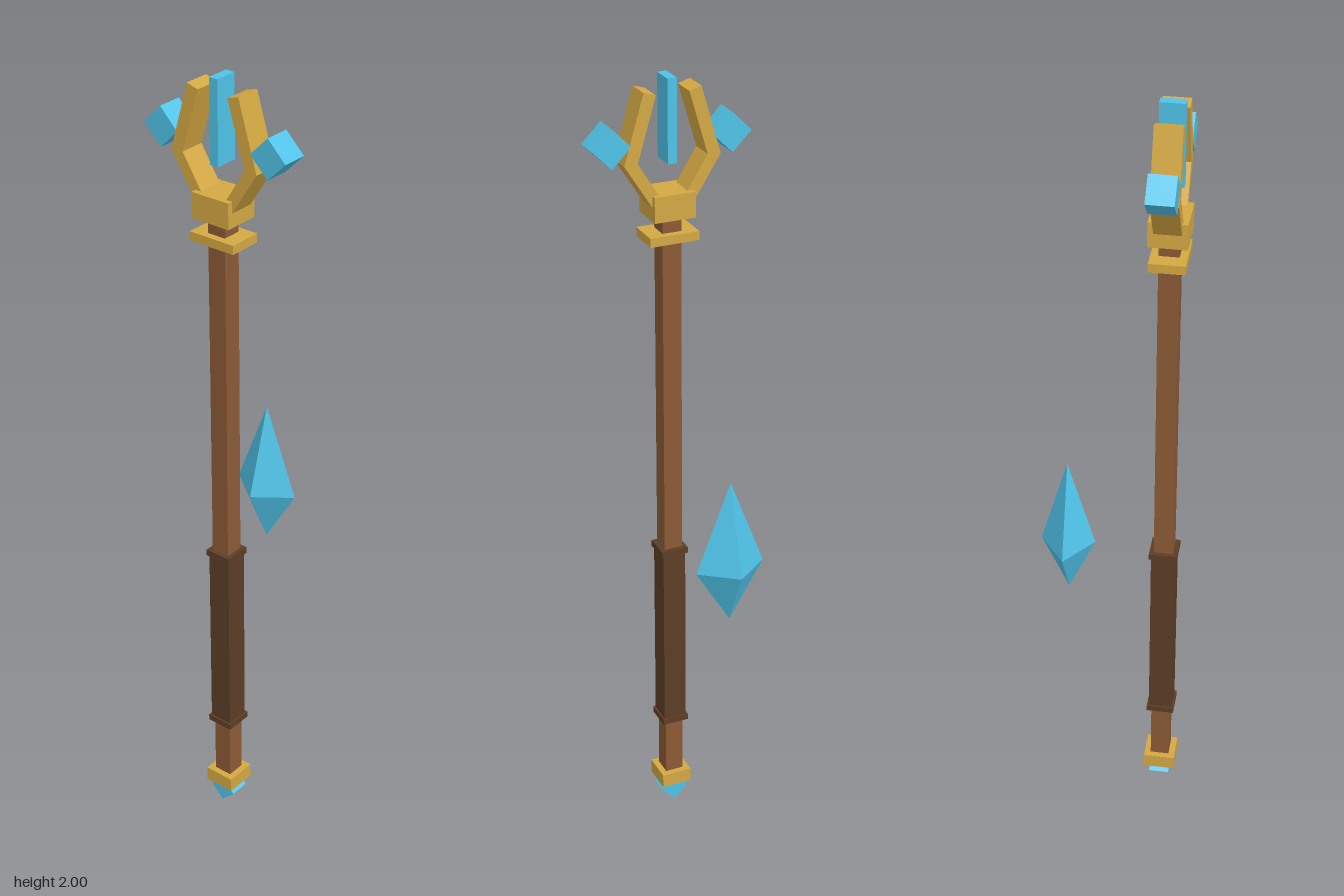
import * as THREE from 'three';

export function createModel() {
  const model = new THREE.Group();
  const mat = (color) => new THREE.MeshStandardMaterial({ color, flatShading: true });
  const gold = mat(0xd4a843), crystal = mat(0x4fc3e8), wood = mat(0x8b5a35), leather = mat(0x5c3d26);

  const staff = new THREE.Group();
  staff.name = 'staff';
  staff.position.z = 0.125;
  model.add(staff);

  function add(name, geometry, material, x = 0, y = 0, z = 0, parent = staff) {
    const mesh = new THREE.Mesh(geometry, material);
    mesh.name = name;
    mesh.position.set(x, y, z);
    parent.add(mesh);
    return mesh;
  }
  // Box spanning y0..y1, centred on the staff axis
  const block = (name, w, y0, y1, d, material) =>
    add(name, new THREE.BoxGeometry(w, y1 - y0, d), material, 0, (y0 + y1) / 2);
  // Square bar turned 45 degrees about z
  const diamond = (name, x, y, halfDiagonal, d) => {
    const side = halfDiagonal * Math.SQRT2;
    add(name, new THREE.BoxGeometry(side, side, d), crystal, x, y).rotation.z = Math.PI / 4;
  };

  // Shaft and wrapped grip
  block('shaft', 0.048, 0.08, 1.69, 0.048, wood);
  block('grip', 0.06, 0.26, 0.78, 0.06, leather);
  block('lowerGripRing', 0.07, 0.256, 0.272, 0.07, leather);
  block('upperGripRing', 0.07, 0.768, 0.784, 0.07, leather);

  // Pommel
  block('pommelCap', 0.08, 0.057, 0.095, 0.08, gold);
  diamond('pommelGem', 0, 0.036, 0.036, 0.052);

  // Head mount
  block('guardPlate', 0.124, 1.61, 1.632, 0.085, gold);
  block('headCollar', 0.104, 1.668, 1.731, 0.091, gold);
  block('centreCrystal', 0.023, 1.8, 2.0, 0.058, crystal);

  // Bent prongs with side gems, mirrored
  const profile = [[0.047, 1.695], [0.12, 1.81], [0.071, 1.975], [0.041, 1.966], [0.087, 1.812], [0.026, 1.715]];
  for (const side of [-1, 1]) {
    const label = side > 0 ? 'left' : 'right';
    const shape = new THREE.Shape(profile.map(([x, y]) => new THREE.Vector2(side * x, y)));
    add(label + 'Prong', new THREE.ExtrudeGeometry(shape, { depth: 0.064, bevelEnabled: false }), gold, 0, 0, -0.032);
    diamond(label + 'Gem', side * 0.15, 1.855, 0.048, 0.064);
  }

  // Floating four-sided crystal behind the staff
  const points = [[0, -0.148], [1, 0], [0, 0.232]].map(([r, y]) => new THREE.Vector2(r, y));
  const floating = new THREE.LatheGeometry(points, 4);
  floating.scale(0.09, 1, 0.067);
  add('floatingCrystal', floating, crystal, -0.059, 0.827, -0.107, model);

  return model;
}
